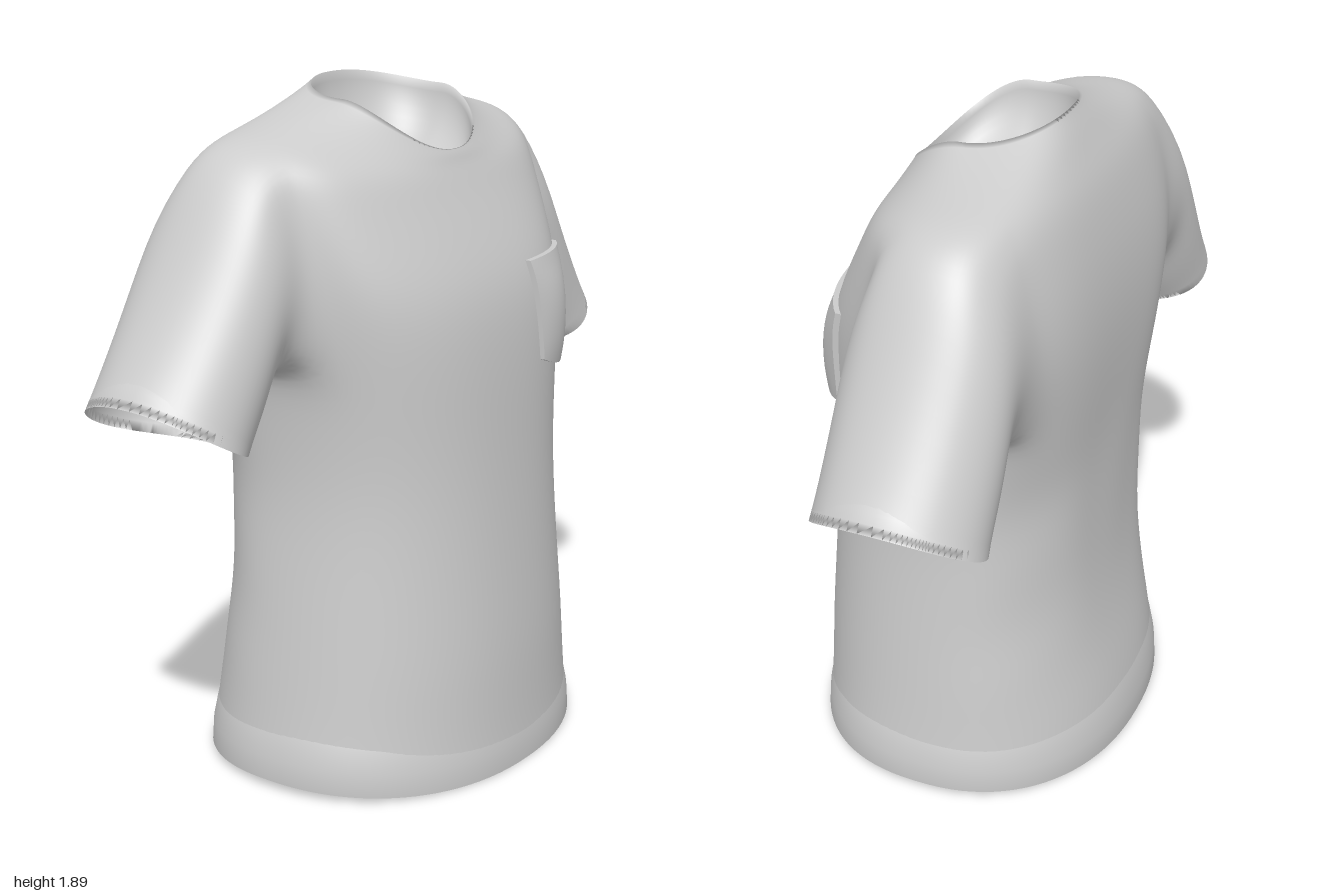
import * as THREE from 'three';

const COLS = 96, SUB = 5;

// Torso sections from hem to neckline:
// half width, side z, front z, back z, front y, side y, back y, corner exponent
const SECTIONS = [
  [.582, -.01, .468, -.465, .005, .03, .005, .91],
  [.562, -.02, .460, -.445, .18, .19, .18, .91],
  [.545, -.03, .455, -.410, .35, .35, .35, .90],
  [.525, -.04, .440, -.385, .55, .55, .55, .89],
  [.500, -.05, .422, -.380, .80, .80, .80, .86],
  [.505, -.06, .412, -.382, 1.0, 1.0, 1.0, .82],
  [.522, -.08, .402, -.390, 1.18, 1.18, 1.18, .77],
  [.545, -.10, .378, -.388, 1.35, 1.35, 1.35, .73],
  [.570, -.11, .320, -.370, 1.48, 1.50, 1.50, .73],
  [.587, -.11, .268, -.342, 1.58, 1.64, 1.62, .77],
  [.575, -.11, .238, -.310, 1.64, 1.76, 1.72, .83],
  [.460, -.09, .220, -.272, 1.675, 1.79, 1.79, .88],
  [.330, -.05, .210, -.240, 1.70, 1.82, 1.85, .92],
  [.230, 0, .200, -.210, 1.715, 1.855, 1.895, .94],
];
const ROWS = (SECTIONS.length - 1) * SUB;
const ARM_LOW = 6 * SUB, ARM_HIGH = 10 * SUB, ARM_FRONT = 6, ARM_BACK = 11;

// Sleeve stations: top x, top y, bottom x, bottom y, centre z, half depth, droop
const SLEEVE = [
  [.665, 1.70, .580, 1.15, -.105, .228, 0],
  [.812, 1.44, .625, 1.075, -.108, .235, .01],
  [1.00, 1.17, .675, 1.005, -.108, .232, .03],
];

// Catmull-Rom through a list of number rows
function spline(rows, v) {
  const last = rows.length - 1;
  const i = Math.min(Math.floor(v), last - 1), t = v - i;
  const [a, b, c, d] = [-1, 0, 1, 2].map(o => rows[THREE.MathUtils.clamp(i + o, 0, last)]);
  return b.map((p, k) => p + .5 * t * (c[k] - a[k]
    + t * (2 * a[k] - 5 * p + 4 * c[k] - d[k] + t * (3 * (p - c[k]) + d[k] - a[k]))));
}

const bell = (v, centre, width) => Math.exp(-(((v - centre) / width) ** 2));
const power = (v, e) => Math.sign(v) * Math.abs(v) ** e;

function torsoPoint(v, angle) {
  const [hw, zc, zf, zb, yf, ys, yb, e] = spline(SECTIONS, v);
  const c = Math.cos(angle), s = Math.sin(angle), front = s > 0;
  const y = ys + ((front ? yf : yb) - ys) * Math.abs(s) ** 1.6;
  // The back is squarer than the front across the shoulder blades
  const ex = front ? e : e - .2 * bell(y, 1.45, .35);
  let x = hw * power(c, ex);
  let z = zc + (front ? zf - zc : zc - zb) * power(s, ex);
  if (!front) {
    // Spine hollow, soft folds down the back and creases at the waist
    const waist = bell(y, .75, .35);
    z += .025 * bell(x, 0, .1) * bell(y, 1.25, .35);
    z += .012 * waist * s * s * Math.cos(18 * Math.abs(x) - 3 * y);
    x -= Math.sign(c) * .03 * waist * Math.abs(s * c) * (1 + Math.sin(18 * y + 8 * z));
  }
  return [x, y, z];
}

// Front surface depth of the torso, used to lay the pocket on the chest
function chestDepth(x, y) {
  let lo = 0, hi = SECTIONS.length - 1;
  for (let n = 0; n < 30; n++) {
    const mid = (lo + hi) / 2;
    if (spline(SECTIONS, mid)[4] < y) lo = mid; else hi = mid;
  }
  const [hw, zc, zf, , , , , e] = spline(SECTIONS, lo);
  return zc + (zf - zc) * (1 - Math.abs(x / hw) ** (2 / e)) ** (e / 2);
}

// Average each free vertex with its neighbours to soften the armhole seams
function relax(points, faces, pinned, passes) {
  const near = points.map(() => new Set());
  for (const [a, b, c, d] of faces)
    for (const [p, q] of [[a, b], [b, c], [c, d], [d, a]]) { near[p].add(q); near[q].add(p); }
  for (let n = 0; n < passes; n++) {
    const old = points.map(p => [...p]);
    points.forEach((p, i) => {
      if (pinned.has(i)) return;
      for (let k = 0; k < 3; k++) {
        let sum = 0;
        near[i].forEach(j => { sum += old[j][k]; });
        p[k] = (old[i][k] + sum / near[i].size) / 2;
      }
    });
  }
}

// Quads between two closed loops of vertex indices
function bridge(faces, lower, upper, skip = () => false) {
  lower.forEach((a, j) => {
    const n = (j + 1) % lower.length;
    if (!skip(j)) faces.push([a, upper[j], upper[n], lower[n]]);
  });
}

function buildShirt(group, material) {
  const points = [], pinned = new Set();
  const parts = { body: [], leftSleeve: [], rightSleeve: [] };
  const at = (r, c) => r * COLS + (c + COLS) % COLS;
  const ring = r => Array.from({ length: COLS }, (_, c) => at(r, c));

  // Round hollow inside an opening, sunk along the inward vector
  function hollow(faces, rim, inward, atStart = false) {
    const rimPoints = rim.map(i => [...points[i]]);
    const mid = [0, 1, 2].map(k => rimPoints.reduce((sum, p) => sum + p[k], 0) / rim.length);
    const axis = new THREE.Vector3(...inward).normalize().toArray();
    const add = p => { pinned.add(points.length); return points.push(p) - 1; };
    rim.forEach(i => pinned.add(i));
    let outer = rim;
    for (let n = 1; n <= 12; n++) {
      const a = n / 12 * Math.PI / 2, s = n === 12 ? 0 : Math.cos(a), sink = Math.sin(a);
      const centre = s === 0 && add(mid.map((m, k) => m + inward[k]));
      const inner = rimPoints.map(p => {
        if (s === 0) return centre;
        // The waviness of the rim fades out towards the bottom of the hollow
        const rise = p.reduce((sum, v, k) => sum + (v - mid[k]) * axis[k], 0);
        return add(p.map((v, k) => mid[k] + (v - mid[k] - rise * axis[k]) * s
          + rise * axis[k] * s * s + inward[k] * sink));
      });
      if (atStart) bridge(faces, inner, outer); else bridge(faces, outer, inner);
      outer = inner;
    }
  }

  // Torso, leaving an armhole open on each side
  for (let r = 0; r <= ROWS; r++)
    for (let c = 0; c < COLS; c++) points.push(torsoPoint(r / SUB, c / COLS * Math.PI * 2));
  const half = COLS / 2;
  for (let r = 0; r < ROWS; r++)
    bridge(parts.body, ring(r), ring(r + 1), c => r >= ARM_LOW && r < ARM_HIGH
      && (c < ARM_FRONT || c >= COLS - ARM_BACK || (c >= half - ARM_FRONT && c < half + ARM_BACK)));
  hollow(parts.body, ring(0), [0, .5, 0], true);
  hollow(parts.body, ring(ROWS), [0, -.2, 0]);

  // Sleeves grown from the armhole edges
  for (const [name, side, from, to] of [
    ['leftSleeve', 1, -ARM_BACK, ARM_FRONT],
    ['rightSleeve', -1, half - ARM_FRONT, half + ARM_BACK]]) {
    let loop = [];
    for (let r = ARM_LOW; r < ARM_HIGH; r++) loop.push(at(r, to));
    for (let c = to; c > from; c--) loop.push(at(ARM_HIGH, c));
    for (let r = ARM_HIGH; r > ARM_LOW; r--) loop.push(at(r, from));
    for (let c = from; c < to; c++) loop.push(at(ARM_LOW, c));
    const tracks = loop.map(i => {
      const p = points[i], phi = Math.atan2((p[1] - 1.47) / .28, (p[2] + .1) / .21);
      const up = (1 + Math.sin(phi)) / 2, out = Math.cos(phi);
      return [p, ...SLEEVE.map(([tx, ty, bx, by, zc, w, droop]) =>
        [side * (bx + (tx - bx) * up), by + (ty - by) * up - droop * out * out, zc + w * out])];
    });
    for (let s = 1; s <= SLEEVE.length * SUB; s++) {
      const next = tracks.map(t => points.push(spline(t, s / SUB)) - 1);
      bridge(parts[name], loop, next);
      loop = next;
    }
    hollow(parts[name], loop, [-side * .1, .18, 0]);
  }

  const all = Object.values(parts).flat();
  relax(points, all, pinned, 18);

  // Shared normals keep the seams between body and sleeves smooth
  const triangles = faces => faces.flatMap(([a, b, c, d]) => [a, b, c, a, c, d]);
  const whole = new THREE.BufferGeometry();
  whole.setAttribute('position', new THREE.Float32BufferAttribute(points.flat(), 3));
  whole.setIndex(triangles(all));
  whole.computeVertexNormals();
  for (const [name, faces] of Object.entries(parts)) {
    const geometry = whole.clone();
    geometry.setIndex(triangles(faces));
    const mesh = new THREE.Mesh(geometry, material);
    mesh.name = name;
    group.add(mesh);
  }
}

// Chest pocket: a thin panel curved over the chest with a pointed lower edge
function buildPocket(material) {
  const geometry = new THREE.BoxGeometry(1, 1, 1, 14, 14, 1);
  const pos = geometry.attributes.position;
  for (let i = 0; i < pos.count; i++) {
    const u = pos.getX(i) * 2, v = pos.getY(i) + .5, outer = pos.getZ(i) > 0;
    const x = .28 + u * (.132 + .014 * v);
    const y = 1.405 - (1 - v) * (.31 - .035 * Math.abs(u) ** 1.5);
    const puff = .008 + .018 * (1 - u * u) * Math.sin(Math.PI * Math.min(1, v + .1));
    pos.setXYZ(i, x, y, chestDepth(x, y) + (outer ? puff : -.01));
  }
  geometry.computeVertexNormals();
  const mesh = new THREE.Mesh(geometry, material);
  mesh.name = 'chestPocket';
  return mesh;
}

export function createModel() {
  const group = new THREE.Group();
  group.name = 'shirt';
  const material = new THREE.MeshStandardMaterial({ color: 0xcccccc, side: THREE.DoubleSide });
  buildShirt(group, material);
  group.add(buildPocket(material));
  return group;
}
